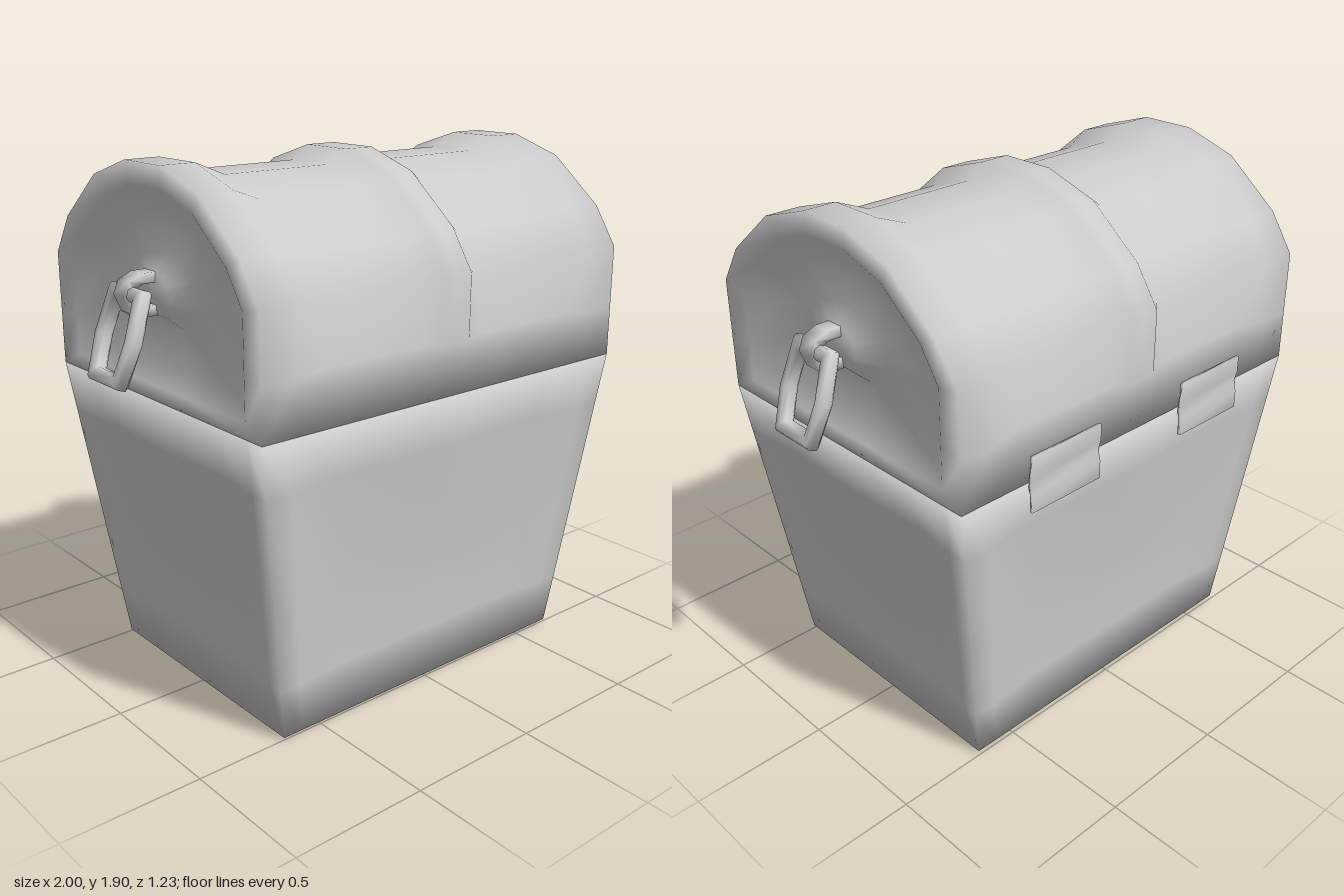
import * as THREE from 'three';
import { mergeVertices } from 'three/addons/utils/BufferGeometryUtils.js';

const mat = new THREE.MeshStandardMaterial({ color: 0xcccccc });

function part(name, geometry) {
  const mesh = new THREE.Mesh(geometry, mat);
  mesh.name = name;
  return mesh;
}

// Shares corners so the shading runs smoothly over every edge
function smooth(geometry) {
  geometry.deleteAttribute('normal');
  geometry.deleteAttribute('uv');
  const g = mergeVertices(geometry);
  g.computeVertexNormals();
  return g;
}

// Joins closed rings of equal length into one smooth skin, capped at two centre points
function skin(rings, startCentre, endCentre) {
  const n = rings[0].length, index = [];
  const points = [...rings.flat(), startCentre, endCentre];
  const start = points.length - 2, end = points.length - 1, last = (rings.length - 1) * n;
  for (let j = 0; j < n; j++) {
    const k = (j + 1) % n;
    for (let i = 0; i < rings.length - 1; i++) {
      const a = i * n + j, b = a + n, c = (i + 1) * n + k, d = i * n + k;
      index.push(a, b, c, a, c, d);
    }
    index.push(start, j, k, end, last + k, last + j);
  }
  const g = new THREE.BufferGeometry();
  g.setAttribute('position', new THREE.Float32BufferAttribute(points.flat(), 3));
  g.setIndex(index);
  g.computeVertexNormals();
  return g;
}

// Tapered box with a shallow sunken panel in each side
function makeBody() {
  const rows = [0.01, 0.2, 0.5, 0.93, 1.12];
  const cols = [-1, -0.88, -0.6, -0.12, 0.12, 0.6, 0.88];
  const rings = rows.map((y, r) => {
    const t = (y - 0.01) / 1.11;
    const hx = 0.66 + 0.15 * t, hz = 0.498 + 0.11 * t;
    const ring = [];
    for (let side = 0; side < 4; side++) {
      cols.forEach((u, c) => {
        const innerRow = r >= 1 && r <= 3, innerCol = c >= 2 && c <= 5;
        const topTab = r === 3 && (c === 3 || c === 4);
        const sink = innerRow && innerCol ? (topTab ? 0.01 : 0.022) : 0;
        const p = [
          [-u * hx, y, hz - sink],
          [-hx + sink, y, -u * hz],
          [u * hx, y, -hz + sink],
          [hx - sink, y, u * hz],
        ];
        ring.push(p[side]);
      });
    }
    return ring;
  });
  return skin(rings, [0, 0, 0], [0, 1.12, 0]);
}

// Arched lid: raised bands at both ends and the middle, sunken end panels with a boss
function makeLid() {
  const half = [[0.608, 1.12], [0.608, 1.3], [0.608, 1.53], [0.515, 1.67], [0.31, 1.835], [0.105, 1.9]];
  const profile = [...half, ...half.slice().reverse().map(([z, y]) => [-z, y]), [-0.2, 1.12], [0.2, 1.12]];
  const cy = 1.42;
  const scaled = (x, s) => profile.map(([z, y]) => [x, cy + (y - cy) * s, z * s]);
  // The hollows between the bands fade out towards the bottom rim
  const band = (x, s) => profile.map(([z, y]) => {
    const k = 1 - (1 - s) * Math.min(1, (y - 1.12) / 0.41);
    return [x, cy + (y - cy) * k, z * k];
  });
  const boss = (x, rz, ry) => profile.map(([z, y]) => {
    const a = Math.atan2(y - cy, z);
    return [x, 1.48 + ry * Math.sin(a), rz * Math.cos(a)];
  });
  const right = [
    band(0.06, 1), band(0.13, 0.9), band(0.35, 0.9), band(0.56, 0.9), band(0.68, 1),
    scaled(0.81, 1), scaled(0.8, 0.84), scaled(0.75, 0.68),
    boss(0.75, 0.21, 0.13), boss(0.795, 0.11, 0.08),
  ];
  const left = right.map((ring) => ring.map(([x, y, z]) => [-x, y, z])).reverse();
  return skin([...left, band(0, 1), ...right], [-0.8, 1.48, 0], [0.8, 1.48, 0]);
}

const shapeOf = (pts) => new THREE.Shape(pts.map(([x, y]) => new THREE.Vector2(x, y)));

// Bent strap that holds the ring
function makeStaple() {
  const g = new THREE.ExtrudeGeometry(shapeOf([
    [0.77, 1.555], [0.845, 1.555], [0.895, 1.535], [0.915, 1.49], [0.89, 1.43], [0.86, 1.41], [0.77, 1.41],
    [0.77, 1.445], [0.85, 1.445], [0.875, 1.485], [0.865, 1.51], [0.84, 1.52], [0.77, 1.52],
  ]), { depth: 0.064, bevelEnabled: false });
  return smooth(g.translate(0, 0, -0.032));
}

// Six-sided drop ring, hanging outward
function makeRing() {
  const outline = [[0.095, 0], [0.115, -0.17], [0.092, -0.325], [-0.092, -0.325], [-0.115, -0.17], [-0.095, 0]];
  const shape = shapeOf(outline.map(([x, y]) => [x * 0.9, -0.163 + (y + 0.163) * 0.94]));
  const hole = outline.map(([x, y]) => new THREE.Vector2(x * 0.72, -0.163 + (y + 0.163) * 0.78));
  shape.holes.push(new THREE.Path(hole.reverse()));
  const g = new THREE.ExtrudeGeometry(shape, {
    depth: 0.028, bevelEnabled: true, bevelThickness: 0.014, bevelSize: 0.011, bevelSegments: 1,
  });
  g.translate(0, 0, -0.014);
  g.rotateY(Math.PI / 2);
  g.rotateZ(0.34);
  return smooth(g.translate(0.867, 1.51, 0));
}

// Thin hinge strap, pinched inward along the seam
function makeHinge() {
  const g = new THREE.ExtrudeGeometry(shapeOf([
    [0.618, 1.01], [0.618, 1.075], [0.608, 1.115], [0.618, 1.155], [0.618, 1.215],
    [0.606, 1.215], [0.606, 1.155], [0.596, 1.115], [0.606, 1.075], [0.606, 1.01],
  ]), { depth: 0.315, bevelEnabled: false });
  g.translate(0, 0, -0.1575);
  return smooth(g.rotateY(Math.PI / 2));
}

export function createModel() {
  const model = new THREE.Group();
  model.name = 'chest';
  for (const shell of [part('body', makeBody()), part('lid', makeLid())]) {
    shell.position.z = 0.005;
    model.add(shell);
  }

  // Drop handles on both ends
  for (const side of [1, -1]) {
    const handle = new THREE.Group();
    handle.name = side > 0 ? 'leftHandle' : 'rightHandle';
    handle.add(part('staple', makeStaple()), part('ring', makeRing()));
    if (side < 0) handle.rotation.y = Math.PI;
    model.add(handle);
  }

  // Hinges across the seam at the back
  for (const x of [-0.367, 0.367]) {
    const hinge = part(x > 0 ? 'leftHinge' : 'rightHinge', makeHinge());
    hinge.position.x = x;
    model.add(hinge);
  }
  return model;
}
